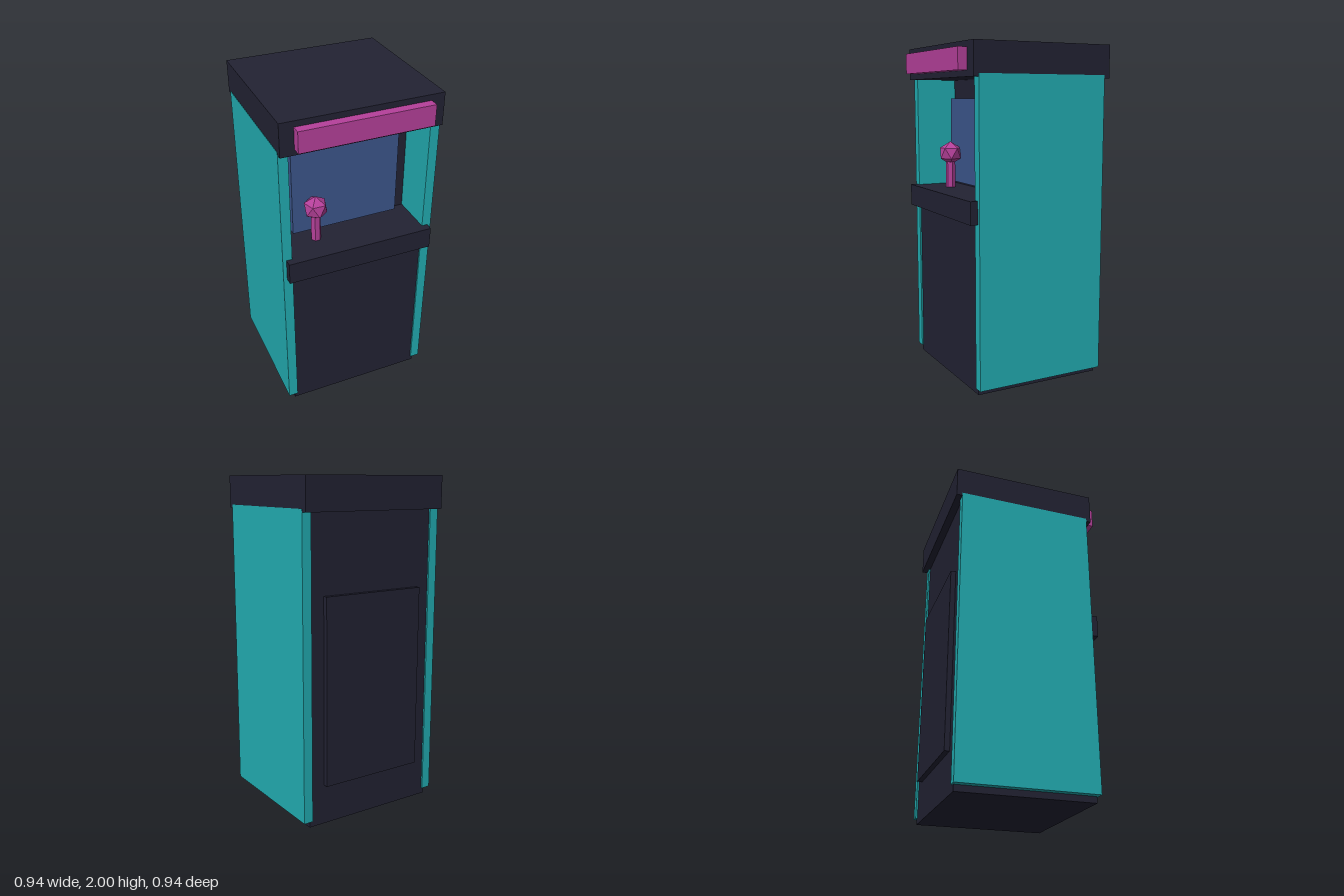
import * as THREE from 'three';

export function createModel() {
  const mat = (name, color) => {
    const m = new THREE.MeshStandardMaterial({ color });
    m.name = name;
    return m;
  };
  const dark = mat('darkCabinet', 0x222233);
  const teal = mat('tealPanel', 0x22adb2);
  const pink = mat('pinkAccent', 0xb5409a);
  const blue = mat('blueScreen', 0x3c568c);

  const model = new THREE.Group();
  model.name = 'arcadeCabinet';

  const add = (name, geometry, material) => {
    const mesh = new THREE.Mesh(geometry, material);
    mesh.name = name;
    model.add(mesh);
    return mesh;
  };
  // Box given by its limits on each axis
  const box = (name, material, [x0, x1], [y0, y1], [z0, z1]) =>
    add(name, new THREE.BoxGeometry(x1 - x0, y1 - y0, z1 - z0), material)
      .position.set((x0 + x1) / 2, (y0 + y1) / 2, (z0 + z1) / 2);

  // Cabinet body: full-depth base, recessed upper part, overhanging roof
  box('lowerBody', dark, [-0.43, 0.43], [0, 1.0], [-0.425, 0.375]);
  box('upperBody', dark, [-0.43, 0.43], [1.0, 1.82], [-0.425, 0.125]);
  box('roof', dark, [-0.47, 0.47], [1.807, 2], [-0.47, 0.415]);
  box('controlDeck', dark, [-0.45, 0.45], [1.0, 1.133], [0.1, 0.43]);
  box('backDoor', dark, [-0.33, 0.33], [0.24, 1.35], [-0.455, -0.42]);

  // Side panels
  for (const [side, s] of [['left', 1], ['right', -1]]) {
    const xs = [0.415 * s, 0.472 * s].sort((a, b) => a - b);
    box(side + 'SidePanel', teal, xs, [0.037, 1.825], [-0.435, 0.385]);
  }

  // Marquee and screen
  box('marquee', pink, [-0.39, 0.39], [1.842, 1.966], [0.41, 0.47]);
  box('screen', blue, [-0.335, 0.33], [1.158, 1.69], [0.12, 0.19]);

  // Joystick: faceted shaft and a ball standing on one of its corners
  const shaft = new THREE.CylinderGeometry(0.03, 0.03, 0.19, 6).rotateY(Math.PI / 6).toNonIndexed();
  shaft.computeVertexNormals();
  add('joystickShaft', shaft, pink).position.set(-0.215, 1.22, 0.25);
  const ball = new THREE.IcosahedronGeometry(0.074, 0)
    .rotateX(Math.atan((1 + Math.sqrt(5)) / 2));
  add('joystickBall', ball, pink).position.set(-0.215, 1.348, 0.25);

  return model;
}
